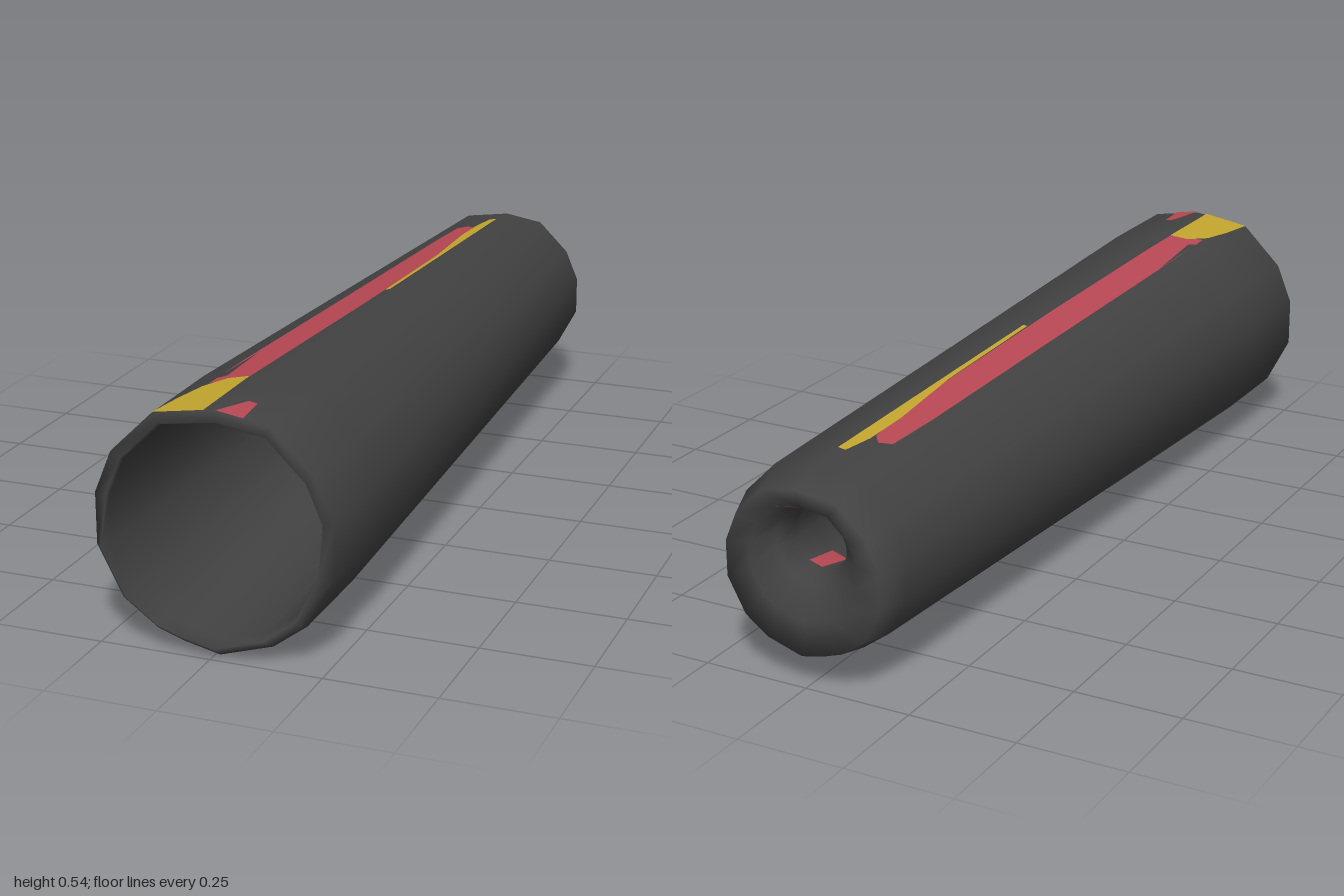
import * as THREE from 'three';

const mat = (name, color) => {
  const m = new THREE.MeshStandardMaterial({ color });
  m.name = name;
  return m;
};

// Slightly irregular cross-section, clockwise from the top, around (0, 0)
const SECTION = [
  [0.01, 0.267], [0.13, 0.247], [0.226, 0.152], [0.266, 0.057], [0.266, -0.058],
  [0.206, -0.171], [0.13, -0.228], [0.01, -0.266], [-0.07, -0.248], [-0.13, -0.228],
  [-0.208, -0.171], [-0.266, -0.058], [-0.266, 0.057], [-0.227, 0.152], [-0.13, 0.247],
];
const R = 0.267, N = SECTION.length;
const TAPER_START = 0.72, TAPER_END = -0.93;

// Rings as [radius, centre height, z, z of the upper half if it differs]
const RINGS = [
  [0.068, 0.315, -0.92],        // throat
  [0.085, 0.31, -0.82],
  [0.15, 0.285, -0.4],
  [0.215, 0.27, 0.5],
  [0.238, 0.268, 0.96],
  [0.243, 0.268, 1.0, 0.97],    // mouth rim, cut back along the top
  [R, 0.268, 0.97],
  [R, 0.268, TAPER_START],
  [0.21, 0.27, TAPER_END],
  [0.187, 0.261, -1.0],         // back edge
  [0.13, 0.28, -0.995],
  [0.085, 0.31, -0.96],
];

function buildTube() {
  const positions = [];
  for (const [r, cy, z, upperZ = z] of RINGS) {
    SECTION.forEach(([x, y]) => {
      positions.push((x * r) / R, cy + (y * r) / R, y > 0 ? upperZ : z);
    });
  }
  // Rings close on themselves; one index list for each material
  const lists = [[], [], []];
  const M = RINGS.length;
  for (let j = 0; j < M; j++) {
    for (let i = 0; i < N; i++) {
      const a = j * N + i, b = j * N + (i + 1) % N;
      const k = ((j + 1) % M) * N;
      const c = k + i, d = k + (i + 1) % N;
      let paint = 0;
      if (j === 0) paint = { 0: 1, 14: 2, 13: 2, 12: 1, 6: 1 }[i] ?? 0;
      if (j >= M - 2) paint = i === 0 || i === 14 ? 1 : 0;
      lists[paint].push(a, b, c, b, d, c);
    }
  }
  const g = new THREE.BufferGeometry();
  g.setAttribute('position', new THREE.Float32BufferAttribute(positions, 3));
  g.setIndex(lists.flat());
  let start = 0;
  lists.forEach((list, m) => {
    g.addGroup(start, list.length, m);
    start += list.length;
  });
  g.computeVertexNormals();
  return g;
}

// Height of the two top facets at (x, z)
function topHeight(x, z) {
  const t = THREE.MathUtils.clamp((TAPER_START - z) / (TAPER_START - TAPER_END), 0, 1);
  const s = THREE.MathUtils.lerp(R, 0.21, t) / R;
  return 0.268 + 0.002 * t + s * (R - 0.16 * Math.abs(x / s - 0.01));
}

// Thin painted patch laid on the top, outlined by [x, z] points
function patch(name, material, outline, lift) {
  const shape = new THREE.Shape(outline.map(([x, z]) => new THREE.Vector2(x, -z)));
  const g = new THREE.ShapeGeometry(shape);
  const p = g.attributes.position;
  for (let i = 0; i < p.count; i++) {
    const x = p.getX(i), z = -p.getY(i);
    p.setXYZ(i, x, topHeight(x, z) + lift, z);
  }
  g.computeVertexNormals();
  const mesh = new THREE.Mesh(g, material);
  mesh.name = name;
  return mesh;
}

export function createModel() {
  const dark = mat('charcoal', 0x424242);
  const red = mat('red', 0xb84854);
  const yellow = mat('yellow', 0xc4a62e);
  const model = new THREE.Group();
  model.name = 'taperedTube';

  const tube = new THREE.Mesh(buildTube(), [dark, red, yellow]);
  tube.name = 'tube';
  model.add(tube);

  // Painted marks along the top
  model.add(
    patch('redStripe', red, [
      [-0.09, 0.78], [-0.015, 0.74], [-0.012, 0.6], [-0.006, 0.1], [-0.006, -0.4],
      [-0.015, -0.62], [-0.025, -0.74], [-0.045, -0.765], [-0.072, -0.75], [-0.078, -0.6],
      [-0.084, 0.0], [-0.092, 0.6],
    ], 0.003),
    patch('yellowFrontMark', yellow, [
      [-0.129, 0.97], [-0.015, 0.97], [-0.015, 0.74], [-0.06, 0.75], [-0.095, 0.8], [-0.115, 0.88],
    ], 0.004),
    patch('redFrontMark', red, [
      [0.012, 0.97], [0.072, 0.97], [0.065, 0.88], [0.045, 0.88],
    ], 0.003),
    patch('yellowLine', yellow, [
      [-0.012, -0.84], [0.006, -0.84], [0.006, -0.03], [-0.004, -0.03], [-0.006, -0.4],
      [-0.024, -0.64], [-0.024, -0.76],
    ], 0.004),
  );
  return model;
}
